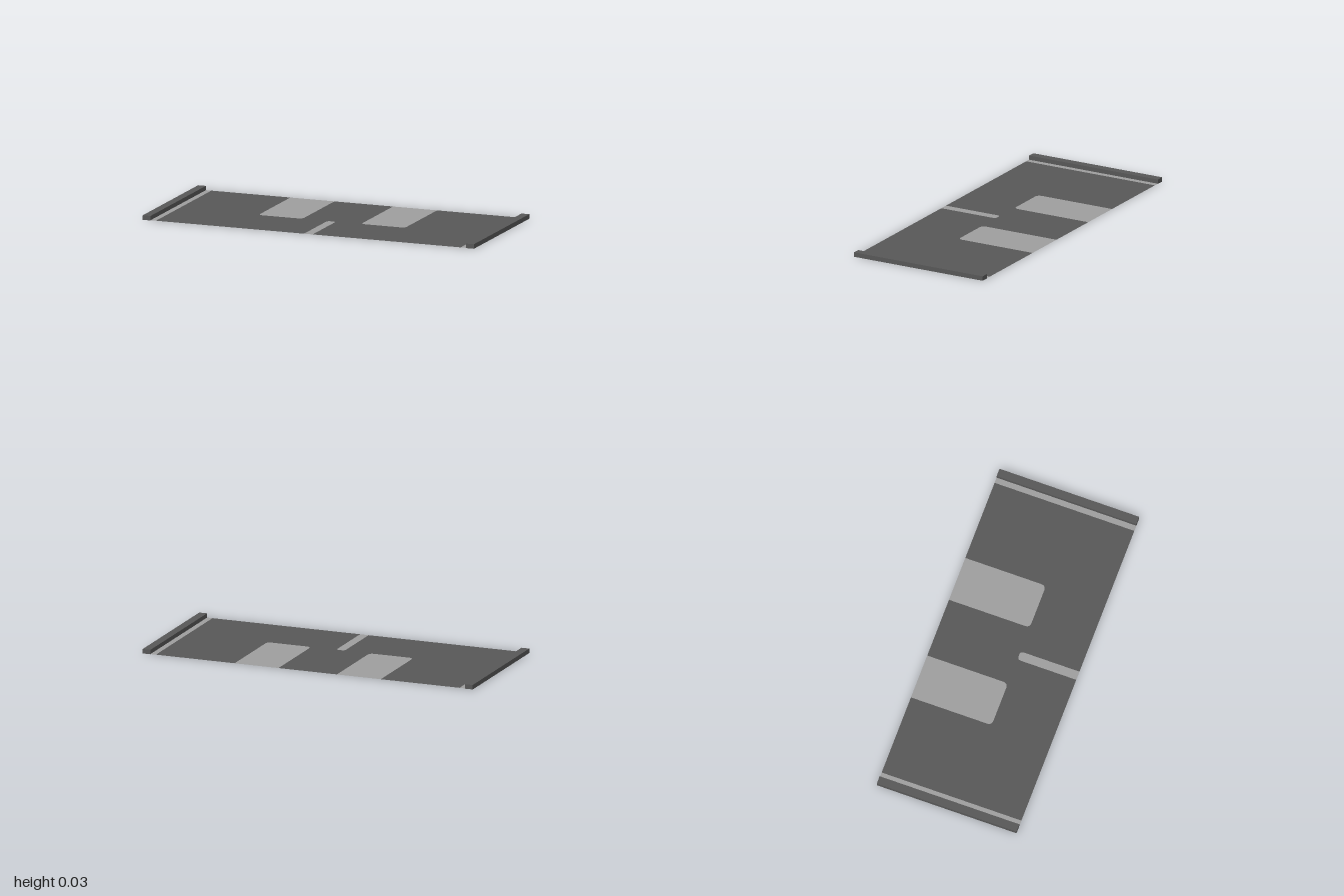
import * as THREE from 'three';

const D = 0.417;        // half depth
const SHEET = 0.92;     // half width of the dark sheet
const RAIL = 0.953;     // inner edge of the end rails
const RAIL_H = 0.026;
const SHEET_Y = 0.0015;

// Slots as [first x, second x, open edge, closed end, corner radius]; shape y is -z
const slots = {
  frontSlot: [-0.026, 0.026, -D, -0.065, 0.022],
  leftWindow: [0.443, 0.177, D, -0.065, 0.03],
  rightWindow: [-0.177, -0.443, D, -0.065, 0.03],
};

// Runs a path into a slot with two rounded corners and back out
function traceSlot(shape, [a, b, open, end, r]) {
  const sx = Math.sign(b - a) * r, sy = Math.sign(open - end) * r;
  shape.lineTo(a, open);
  shape.lineTo(a, end + sy);
  shape.quadraticCurveTo(a, end, a + sx, end);
  shape.lineTo(b - sx, end);
  shape.quadraticCurveTo(b, end, b, end + sy);
  shape.lineTo(b, open);
}

export function createModel() {
  const group = new THREE.Group();
  const dark = new THREE.MeshStandardMaterial({ color: 0x575757, side: THREE.DoubleSide });
  dark.name = 'dark grey';
  const light = new THREE.MeshStandardMaterial({ color: 0x9e9e9e, side: THREE.DoubleSide });
  light.name = 'light grey';

  const add = (name, geometry, material, x = 0, y = 0) => {
    const mesh = new THREE.Mesh(geometry, material);
    mesh.name = name;
    mesh.position.set(x, y, 0);
    group.add(mesh);
  };
  const flat = (shape) => new THREE.ShapeGeometry(shape, 8).rotateX(-Math.PI / 2);

  // Main sheet, notched around the light patches
  const outline = new THREE.Shape();
  outline.moveTo(-SHEET, -D);
  traceSlot(outline, slots.frontSlot);
  outline.lineTo(SHEET, -D);
  outline.lineTo(SHEET, D);
  traceSlot(outline, slots.leftWindow);
  traceSlot(outline, slots.rightWindow);
  outline.lineTo(-SHEET, D);
  outline.closePath();
  add('sheet', flat(outline), dark, 0, SHEET_Y);

  // Light patches filling the notches
  for (const [name, slot] of Object.entries(slots)) {
    const patch = new THREE.Shape();
    patch.moveTo(slot[0], slot[2]);
    traceSlot(patch, slot);
    patch.closePath();
    add(name, flat(patch), light, 0, SHEET_Y);
  }

  // Light strip and raised rail at each end
  for (const [side, s] of [['left', 1], ['right', -1]]) {
    const strip = new THREE.PlaneGeometry(RAIL - SHEET, 2 * D).rotateX(-Math.PI / 2);
    add(side + 'Strip', strip, light, s * (RAIL + SHEET) / 2, SHEET_Y);
    add(side + 'Rail', new THREE.BoxGeometry(1 - RAIL, RAIL_H, 2 * D), dark, s * (1 + RAIL) / 2, RAIL_H / 2);
  }
  return group;
}
